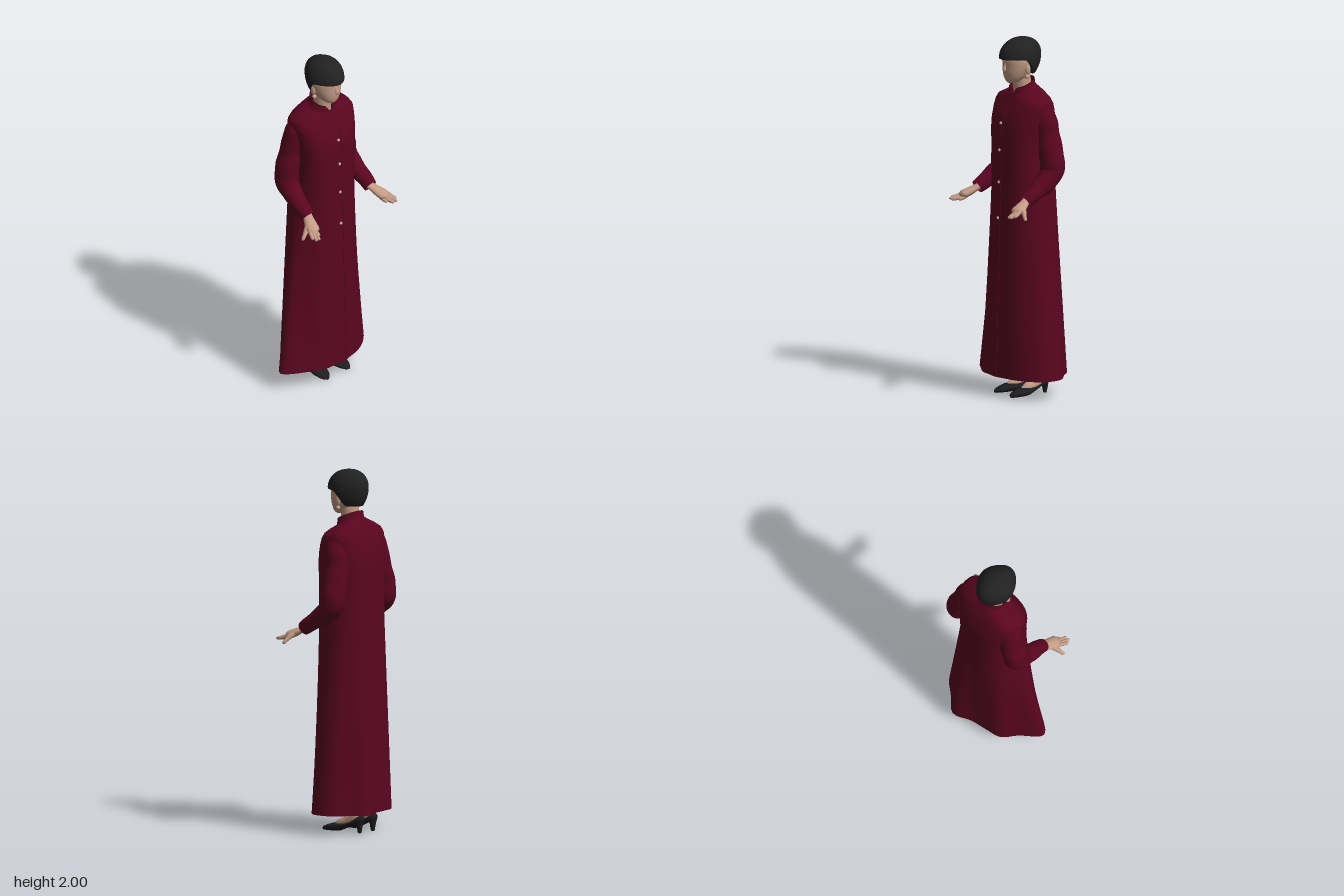
import * as THREE from 'three';
import { mergeVertices } from 'three/addons/utils/BufferGeometryUtils.js';

const V = (x, y, z) => new THREE.Vector3(x, y, z);
const mat = (name, color, side = THREE.FrontSide) => {
  const m = new THREE.MeshStandardMaterial({ color, side });
  m.name = name;
  return m;
};
const N = 64;

// Skin a list of closed rings of equal length, optionally closing both ends
function loft(rings, caps = false) {
  const n = rings[0].length, pos = [], idx = [];
  rings.forEach(r => r.forEach(p => pos.push(p.x, p.y, p.z)));
  for (let i = 0; i < rings.length - 1; i++) for (let j = 0; j < n; j++) {
    const a = i * n + j, b = i * n + (j + 1) % n, c = a + n, d = b + n;
    idx.push(a, c, b, b, c, d);
  }
  if (caps) [0, rings.length - 1].forEach((i, end) => {
    const m = rings[i].reduce((s, p) => s.add(p), V(0, 0, 0)).divideScalar(n), k = pos.length / 3;
    pos.push(m.x, m.y, m.z);
    for (let j = 0; j < n; j++) {
      const a = i * n + j, b = i * n + (j + 1) % n;
      end ? idx.push(a, k, b) : idx.push(b, k, a);
    }
  });
  const g = new THREE.BufferGeometry();
  g.setAttribute('position', new THREE.Float32BufferAttribute(pos, 3));
  g.setIndex(idx);
  g.computeVertexNormals();
  return g;
}

// Tube of changing radius; points are [x, y, z, radius], flat squeezes it vertically
function limb(points, { flat = 1, sides = 14, steps = 28, wrinkle = 0 } = {}) {
  const curve = new THREE.CatmullRomCurve3(points.map(p => V(p[0], p[1], p[2])));
  const radii = new THREE.CatmullRomCurve3(points.map((p, i) => V(i, p[3], 0)));
  let g = new THREE.TubeGeometry(curve, steps, 1, sides);
  const p = g.attributes.position, v = V(0, 0, 0);
  for (let i = 0; i <= steps; i++) {
    const u = i / steps, c = curve.getPointAt(u);
    const r = Math.max(0.0005, radii.getPoint(curve.getUtoTmapping(u)).y);
    for (let j = 0; j <= sides; j++) {
      const k = i * (sides + 1) + j, a = j / sides * Math.PI * 2;
      v.fromBufferAttribute(p, k).sub(c).multiplyScalar(r + wrinkle * Math.sin(u * 34 + 2 * Math.sin(a)));
      v.y *= flat;
      v.add(c);
      p.setXYZ(k, v.x, v.y, v.z);
    }
  }
  g.deleteAttribute('uv');
  g.deleteAttribute('normal');
  g = mergeVertices(g, 1e-5);
  g.computeVertexNormals();
  return g;
}

// Rounded horizontal ring; tilt lowers the front, notch opens a V at the throat
function ring([y, rx, zf, zb, tilt = 0, notch = 0], e = 2.2) {
  const cz = (zf + zb) / 2, rz = (zf - zb) / 2;
  const f = t => Math.sign(t) * Math.abs(t) ** (2 / e);
  return Array.from({ length: N }, (_, j) => {
    const a = j / N * Math.PI * 2, z = cz + rz * f(Math.sin(a));
    return V(rx * f(Math.cos(a)), y - tilt * (z - cz) - notch * Math.exp(-(((a - Math.PI / 2) / 0.28) ** 2)), z);
  });
}

export function createModel() {
  const model = new THREE.Group();
  const coatMat = mat('burgundy cloth', 0x5a0520, THREE.DoubleSide);
  const skin = mat('skin', 0xc49c86);
  const hairMat = mat('black hair', 0x212121, THREE.DoubleSide);
  const shoeMat = mat('black shoes', 0x1d1d1f);
  const metal = mat('silver', 0xc0b0b0);
  const pearl = mat('beige pearl', 0xc8a792);
  const add = (name, geo, m, parent = model) => {
    const o = new THREE.Mesh(geo, m);
    o.name = name;
    parent.add(o);
    return o;
  };

  // Coat: a flared skirt blended from an uneven hem up to the waist, then the bodice and collar
  const hemRadii = [.272, .208, .165, .142, .145, .15, .188, .238, .345, .265, .25, .215, .215, .275, .262, .288];
  const hemCurve = new THREE.CatmullRomCurve3(hemRadii.map((r, i) => {
    const a = i / 16 * Math.PI * 2;
    return V(r * Math.cos(a), 0.112, r * Math.sin(a));
  }), true);
  const hem = Array.from({ length: N }, (_, j) => hemCurve.getPoint(j / N));
  const waist = ring([1.2, .185, .116, -.2], 2.3);
  const rows = [];
  for (let i = 0; i < 12; i++) rows.push(hem.map((p, j) => p.clone().lerp(waist[j], i / 12)));
  rows.push(waist, ...[
    [1.3, .178, .113, -.196], [1.4, .178, .111, -.194], [1.48, .185, .11, -.192], [1.54, .192, .1, -.186],
    [1.6, .201, .078, -.172], [1.64, .205, .058, -.157, .06], [1.667, .188, .048, -.143, .12],
    [1.692, .135, .04, -.125, .22]
  ].map(r => ring(r, 2.7)), ...[
    [1.708, .09, .037, -.11, .35], [1.716, .075, .036, -.102, .4],
    [1.748, .071, .034, -.098, .42, .035], [1.75, .066, .029, -.093, .42, .035], [1.715, .062, .025, -.09, .4, .02]
  ].map(r => ring(r)));
  add('coat', loft(rows), coatMat);

  // Front edge and buttons follow the centre front of the coat
  const front = rows.slice(0, 21).map(r => r[N / 4]);
  add('frontEdge', limb(front.map(p => [p.x + 0.012, p.y, p.z, 0.002]), { sides: 6, steps: 60 }), coatMat);
  const frontZ = y => {
    const i = front.findIndex(p => p.y > y), a = front[i - 1], b = front[i];
    return a.z + (b.z - a.z) * (y - a.y) / (b.y - a.y);
  };
  for (const y of [1.0, 1.2, 1.38, 1.53])
    add('button', new THREE.SphereGeometry(0.009, 12, 8), metal).position.set(-0.006, y, frontZ(y));

  // Neck and head
  add('neck', limb([[0, 1.64, -.04, .05], [0, 1.72, -.033, .05], [0, 1.82, -.025, .052]]), skin);
  add('head', loft([
    [1.752, .02, .058, .02], [1.76, .038, .066, -.005], [1.775, .054, .073, -.035], [1.8, .07, .079, -.07],
    [1.83, .082, .081, -.095], [1.86, .089, .079, -.11], [1.9, .09, .084, -.112], [1.95, .07, .055, -.095]
  ].map(r => ring(r, 2.05)), true), skin);
  add('nose', limb([[0, 1.872, .073, .005], [0, 1.845, .079, .008], [0, 1.826, .084, .01], [0, 1.815, .077, .004]],
    { sides: 10, steps: 12 }), skin);

  // Short hair: rounded crown, straight fringe, sloping down past the ears to a tapered nape
  const hairRow = s => Array.from({ length: N }, (_, j) => {
    const a = j / N * Math.PI * 2, sn = Math.sin(a);
    const edge = 1.802 + 0.088 * THREE.MathUtils.smoothstep(sn, -0.5, 0.25);
    const phi = Math.max(0, s) * Math.PI / 2;
    const y = s >= 0 ? 1.9 + 0.1 * Math.sin(phi) : 1.9 + (edge - 1.9) * Math.min(1, -s);
    const inner = (s < -1 ? 0.86 : 1) * (1 - 0.05 * Math.sin(2 * a) ** 2);
    const k = inner * (s >= 0 ? Math.cos(phi) ** 0.9 : 1 - 0.27 * ((1.9 - y) / 0.1) ** 2);
    return V(0.002 + 0.104 * k * Math.cos(a), y, -0.018 - 0.015 * Math.max(0, s) + 0.126 * k * sn);
  });
  add('hair', loft([-1.1, -1, -.8, -.6, -.4, -.2, 0, .12, .25, .38, .5, .62, .74, .85, .94, .995].map(hairRow), true), hairMat);

  for (const s of [1, -1]) {
    const side = s > 0 ? 'left' : 'right';
    const mirrored = pts => pts.map(([x, ...rest]) => [s * x, ...rest]);

    // Ears and earrings
    const ear = add(side + 'Ear', new THREE.SphereGeometry(1, 12, 10), skin);
    ear.position.set(s * .086, 1.832, -.015);
    ear.scale.set(.01, .028, .016);
    add(side + 'Earring', new THREE.SphereGeometry(.012, 12, 10), pearl).position.set(s * .08, 1.793, -.012);

    // Bent sleeve, open at the cuff
    add(side + 'Sleeve', limb(mirrored([
      [.11, 1.628, -.06, .02], [.15, 1.607, -.066, .054], [.163, 1.555, -.075, .066], [.174, 1.47, -.086, .067],
      [.207, 1.35, -.09, .069], [.216, 1.28, -.086, .067], [.222, 1.225, -.04, .058], [.23, 1.175, .035, .047],
      [.234, 1.13, .105, .038]
    ]), { sides: 24, steps: 60, wrinkle: .0015 }), coatMat);

    // Open hand, palm up, thumb pointing outward
    const hand = new THREE.Group();
    hand.name = side + 'Hand';
    model.add(hand);
    add('palm', limb(mirrored([
      [.222, 1.15, .07, .026], [.238, 1.127, .11, .028], [.255, 1.105, .15, .036], [.266, 1.092, .18, .035], [.274, 1.086, .198, .012]
    ]), { flat: .55 }), skin, hand);
    const fingers = [
      [.288, 1.092, .175, .311, 1.075, .228], [.277, 1.088, .182, .3, 1.07, .248],
      [.262, 1.085, .184, .279, 1.068, .247], [.245, 1.085, .172, .254, 1.07, .218]
    ];
    for (const [x, y, z, tx, ty, tz] of fingers)
      add('finger', limb(mirrored([
        [x, y, z, .011], [(x + tx) / 2, (y + ty) / 2 - .004, (z + tz) / 2, .0105], [tx, ty, tz - .004, .008], [tx, ty, tz, .001]
      ]), { sides: 8, steps: 10 }), skin, hand);
    add('thumb', limb(mirrored([
      [.245, 1.12, .125, .016], [.285, 1.095, .148, .016], [.315, 1.07, .16, .011], [.332, 1.055, .166, .009], [.337, 1.05, .168, .001]
    ]), { sides: 10, steps: 14 }), skin, hand);

    // Leg, foot and heeled court shoe, turned slightly outward
    const leg = new THREE.Group();
    leg.name = side + 'Leg';
    leg.position.x = s * .07;
    leg.rotation.y = s * .1;
    model.add(leg);
    add('lowerLeg', limb([
      [0, .4, -.08, .048], [0, .3, -.09, .045], [0, .18, -.105, .032], [0, .1, -.115, .031],
      [0, .062, -.075, .032], [0, .042, -.02, .028], [0, .03, .02, .01]
    ]), skin, leg);
    const shoeRows = [
      [.097, .003, .012, .006], [.085, 0, .024, .022], [.06, 0, .034, .037], [.02, 0, .046, .045], [-.015, .002, .05, .044],
      [-.06, .02, .056, .037], [-.1, .038, .068, .033], [-.135, .048, .088, .032], [-.16, .052, .1, .024], [-.172, .058, .094, .01]
    ];
    add('shoe', loft(shoeRows.map(([z, yb, yt, w]) => Array.from({ length: 20 }, (_, j) => {
      const a = j / 20 * Math.PI * 2;
      return V(w * Math.cos(a), (yb + yt) / 2 + (yt - yb) / 2 * Math.sin(a), z);
    })), true), shoeMat, leg);
    add('heel', new THREE.CylinderGeometry(.022, .01, .065, 14), shoeMat, leg).position.set(0, .0325, -.147);
  }
  return model;
}
